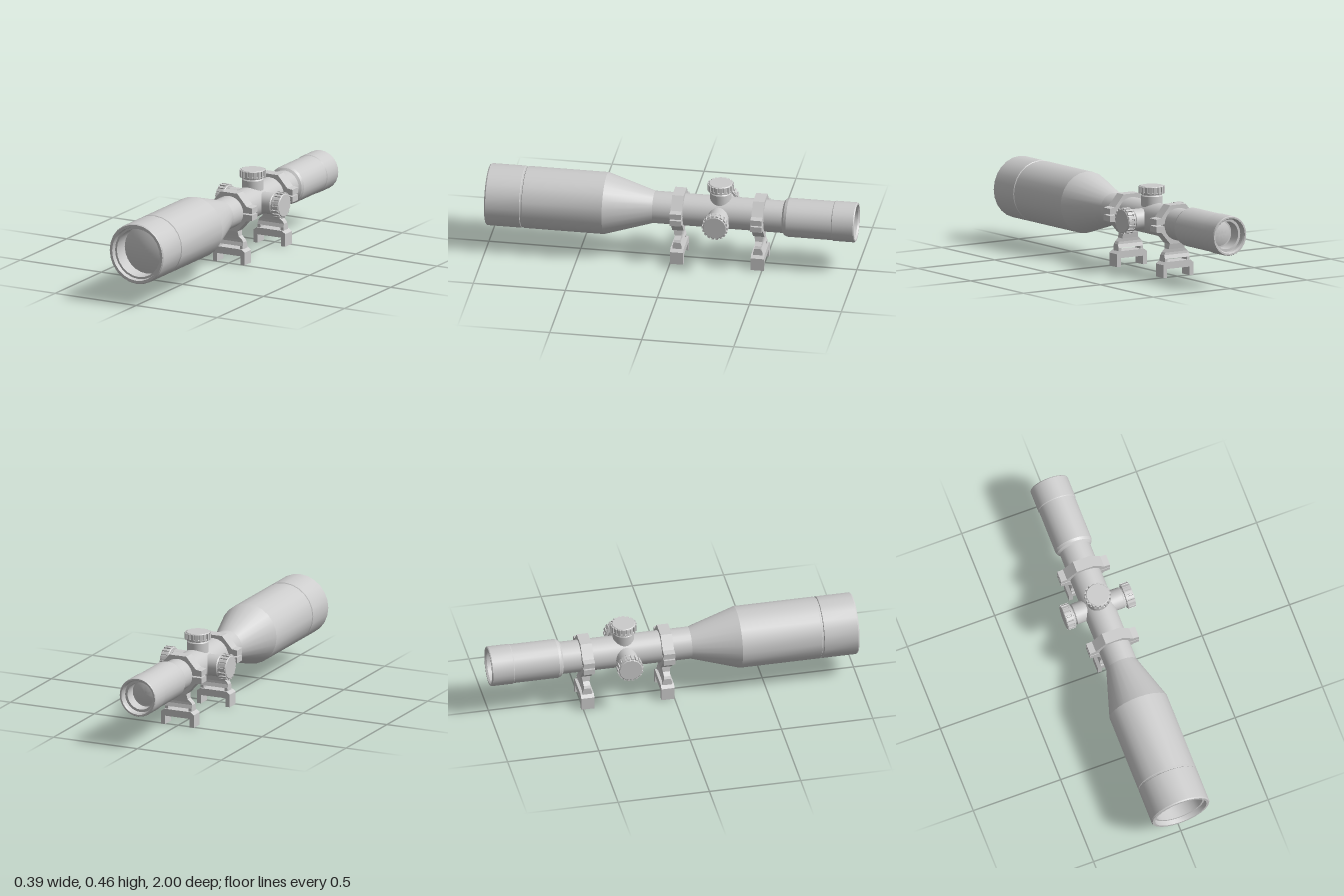
import * as THREE from 'three';
import { toCreasedNormals } from 'three/addons/utils/BufferGeometryUtils.js';

const AXIS = 0.285;
const mat = new THREE.MeshStandardMaterial({ color: 0xcccccc });

function add(parent, name, geo, x = 0, y = 0, z = 0) {
  const mesh = new THREE.Mesh(geo, mat);
  mesh.name = name;
  mesh.position.set(x, y, z);
  parent.add(mesh);
  return mesh;
}

function lathe(points, sides) {
  const pts = points.map(([r, h]) => new THREE.Vector2(r, h));
  return toCreasedNormals(new THREE.LatheGeometry(pts, sides), 0.28);
}

function extrude(shape, depth, options = {}) {
  const geo = new THREE.ExtrudeGeometry(shape, { depth, bevelEnabled: false, curveSegments: 16, ...options });
  return geo.translate(0, 0, -depth / 2);
}

const polygon = (pts) => new THREE.Shape(pts.map(([x, y]) => new THREE.Vector2(x, y)));

// Outline given for +x only, mirrored to -x
const mirrored = (pts) => polygon([...pts, ...pts.map(([x, y]) => [-x, y]).reverse()]);

// Slightly domed lens, from the centre outwards
function dome(radius, z, sag) {
  return Array.from({ length: 7 }, (_, i) => {
    const t = i / 6;
    return [radius * t, z + sag * (1 - t * t)];
  });
}

// Optical tube, from the rear lens over the outside to the front lens
function tubeGeometry() {
  const profile = [
    ...dome(0.068, -0.9, -0.012),
    [0.076, -0.9], [0.076, -0.965], [0.09, -0.965], [0.09, -0.99], [0.096, -1], [0.105, -1],
    [0.108, -0.995], [0.108, -0.88], [0.105, -0.876], [0.105, -0.63], [0.099, -0.615],
    [0.087, -0.605], [0.087, 0.1], [0.167, 0.36],
    [0.167, 0.795], [0.163, 0.798], [0.163, 0.806], [0.167, 0.809],
    [0.167, 0.993], [0.162, 1], [0.148, 1], [0.144, 0.975], [0.133, 0.975], [0.133, 0.89],
    ...dome(0.133, 0.89, 0.03).reverse(),
  ];
  return lathe(profile, 24).rotateX(Math.PI / 2);
}

// Adjustment knob on a neck, pointing up from the tube axis
function makeTurret(name, neckTop, top) {
  const turret = new THREE.Group();
  turret.name = name;
  add(turret, 'turretNeck', lathe([[0.058, 0.03], [0.058, neckTop - 0.012], [0.052, neckTop - 0.006], [0.052, neckTop + 0.005]], 24));
  const height = top - neckTop;
  add(turret, 'knobCore', lathe([[0, neckTop], [0.064, neckTop], [0.068, neckTop + 0.004], [0.068, neckTop + 0.01],
    [0.064, neckTop + 0.012], [0.064, top - 0.004], [0.06, top], [0, top]], 36));
  // Grip ribs
  const ribs = 18;
  for (let i = 0; i < ribs; i++) {
    const a = (i / ribs) * Math.PI * 2;
    const rib = add(turret, 'knobRib', new THREE.BoxGeometry(0.014, height - 0.006, 0.012),
      Math.sin(a) * 0.0645, neckTop + height / 2, Math.cos(a) * 0.0645);
    rib.rotation.y = a;
  }
  return turret;
}

// Half of a clamp ring with flanges at the split
function ringHalfGeometry() {
  const shape = polygon([
    [0.086, 0.004], [0.14, 0.004], [0.14, 0.035], [0.107, 0.04], [0.05, 0.105],
    [-0.05, 0.105], [-0.107, 0.04], [-0.14, 0.035], [-0.14, 0.004], [-0.086, 0.004],
  ]);
  shape.absarc(0, 0, 0.086, Math.PI - 0.046, 0.046, true);
  return extrude(shape, 0.062);
}

// Waisted neck: a box whose levels follow [y, half width, half depth]
function neckGeometry() {
  const levels = [[0.1, 0.08, 0.025], [0.12, 0.08, 0.018], [0.133, 0.072, 0.017], [0.15, 0.052, 0.019], [0.19, 0.046, 0.026]];
  const n = levels.length - 1;
  const geo = new THREE.BoxGeometry(2, 1, 2, 1, n, 1).toNonIndexed();
  const p = geo.attributes.position;
  for (let i = 0; i < p.count; i++) {
    const [y, hx, hz] = levels[Math.round((p.getY(i) + 0.5) * n)];
    p.setXYZ(i, p.getX(i) * hx, y, p.getZ(i) * hz);
  }
  geo.computeVertexNormals();
  return geo;
}

function makeMount(name, z) {
  const mount = new THREE.Group();
  mount.name = name;
  mount.position.z = z;
  add(mount, 'upperRing', ringHalfGeometry(), 0, AXIS);
  add(mount, 'lowerRing', ringHalfGeometry(), 0, AXIS).rotation.z = Math.PI;
  add(mount, 'mountNeck', neckGeometry());
  for (const s of [-1, 1]) {
    add(mount, 'neckPost', new THREE.BoxGeometry(0.018, 0.022, 0.05), s * 0.071, 0.09);
  }
  // Rail foot
  const foot = mirrored([[0.073, 0.047], [0.073, 0], [0.098, 0], [0.098, 0.07], [0.078, 0.085]]);
  add(mount, 'railFoot', extrude(foot, 0.072));
  return mount;
}

export function createModel() {
  const model = new THREE.Group();
  model.name = 'rifleScope';
  add(model, 'opticalTube', tubeGeometry(), 0, AXIS);

  model.add(makeMount('frontMount', -0.036), makeMount('rearMount', -0.475));

  const turrets = [['topTurret', 0, 0.133, 0.176], ['leftTurret', -1, 0.147, 0.196], ['rightTurret', 1, 0.147, 0.196]];
  for (const [name, side, neckTop, top] of turrets) {
    const turret = makeTurret(name, neckTop, top);
    turret.position.set(0, AXIS, -0.26);
    turret.rotation.z = side * Math.PI / 2;
    model.add(turret);
  }
  return model;
}
